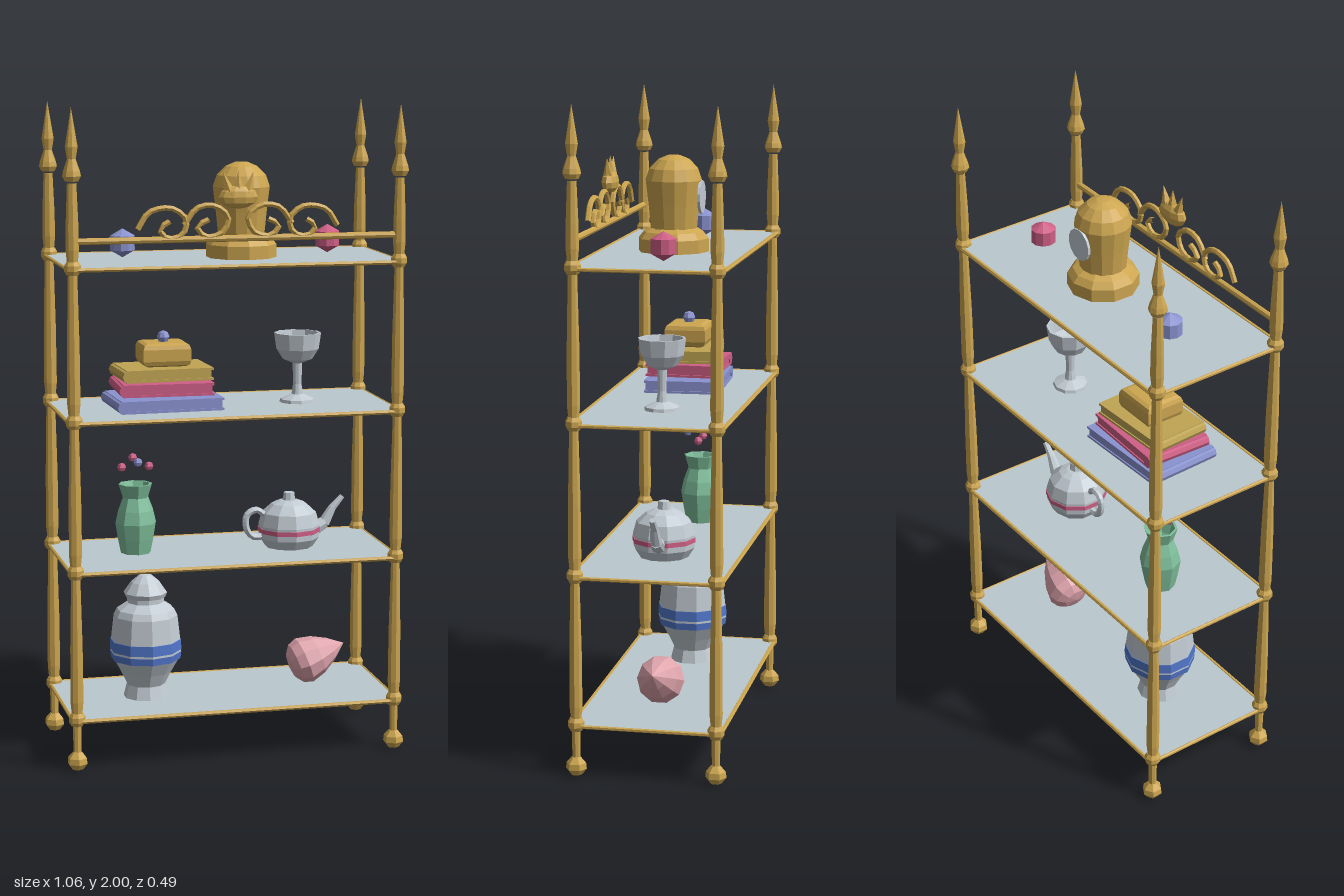
import * as THREE from 'three';

const mat = (name, color) => {
  const m = new THREE.MeshStandardMaterial({ color, flatShading: true });
  m.name = name;
  return m;
};

export function createModel() {
  const root = new THREE.Group();
  root.name = 'displayShelf';
  const gold = mat('gold', 0xcda650), glass = mat('greyGlass', 0xbac8cf),
    china = mat('porcelain', 0xc3ccd4), blue = mat('periwinkle', 0x8a93d0),
    royal = mat('royalBlue', 0x5277cc), rose = mat('rose', 0xcf5f86),
    blush = mat('blush', 0xe0a5ad), green = mat('jade', 0x7fc09c), olive = mat('oldGold', 0xc0a553);

  // helpers
  const add = (name, geo, m, x = 0, y = 0, z = 0, parent = root) => {
    const mesh = new THREE.Mesh(geo, m);
    mesh.name = name;
    mesh.position.set(x, y, z);
    parent.add(mesh);
    return mesh;
  };
  const lathe = (pts, n) => new THREE.LatheGeometry(pts.map(p => new THREE.Vector2(...p)), n);
  const cyl = (r1, r2, h, n) => new THREE.CylinderGeometry(r1, r2, h, n);
  const group = (name, x = 0, y = 0, z = 0) => {
    const g = new THREE.Group();
    g.name = name;
    g.position.set(x, y, z);
    root.add(g);
    return g;
  };
  const tube = (pts, r, n = 16) => new THREE.TubeGeometry(
    new THREE.CatmullRomCurve3(pts.map(p => new THREE.Vector3(p[0], p[1], p[2] || 0))), n, r, 6);

  const levels = [0.155, 0.61, 1.067, 1.525];
  const ZC = -0.002, PX = 0.5, PZ = 0.212;

  // corner posts with feet, collars and spear finials
  const postProfile = [[0.012, 0.05]];
  levels.forEach((y, i) => {
    const next = i < 3 ? levels[i + 1] : 1.79;
    postProfile.push([0.014, y], [0.02, y + 0.06], [0.019, (y + next) / 2], [0.014, next - 0.01]);
  });
  const postGeo = lathe(postProfile, 8);
  const footGeo = lathe([[0, 0], [0.018, 0.004], [0.032, 0.022], [0.03, 0.04], [0.014, 0.058], [0, 0.06]], 6);
  const collarGeo = lathe([[0, -0.02], [0.018, -0.02], [0.025, -0.008], [0.025, 0.008], [0.018, 0.02], [0, 0.02]], 8);
  const finialGeo = lathe([[0, 1.785], [0.02, 1.785], [0.028, 1.8], [0.025, 1.815], [0.018, 1.835],
    [0.013, 1.85], [0.019, 1.885], [0.01, 1.94], [0, 2]], 8);
  for (const sx of [-1, 1]) for (const sz of [-1, 1]) {
    const g = group('cornerPost', sx * PX, 0, sz * PZ + ZC);
    add('post', postGeo, gold, 0, 0, 0, g);
    add('foot', footGeo, gold, 0, 0, 0, g);
    add('finial', finialGeo, gold, 0, 0, 0, g);
    levels.forEach(y => add('collar', collarGeo, gold, 0, y + 0.005, 0, g));
  }

  // shelves with thin edge rails
  for (const y of levels) {
    add('shelfPanel', new THREE.BoxGeometry(1.024, 0.008, 0.45), glass, 0, y, ZC);
    for (const s of [-1, 1]) {
      add('longRail', cyl(0.007, 0.007, 1.024, 6), gold, 0, y, s * 0.226 + ZC).rotation.z = Math.PI / 2;
      add('shortRail', cyl(0.006, 0.006, 0.45, 6), gold, s * 0.512, y, ZC).rotation.x = Math.PI / 2;
    }
  }

  // front crest: rail, mirrored scrolls and a crowned boss
  const crest = group('crest', 0, 0, 0.21);
  add('crestRail', cyl(0.01, 0.01, 1, 8), gold, 0, 1.608, 0, crest).rotation.z = Math.PI / 2;
  const outer = [[0.305, 1.64], [0.27, 1.69], [0.2, 1.7], [0.158, 1.665], [0.17, 1.622], [0.215, 1.612], [0.238, 1.64], [0.208, 1.662]];
  const inner = [[0.165, 1.65], [0.125, 1.7], [0.07, 1.705], [0.03, 1.67], [0.05, 1.625], [0.1, 1.615], [0.125, 1.645], [0.09, 1.665]];
  for (const s of [-1, 1]) {
    add('outerScroll', tube(outer.map(([x, y]) => [s * x, y]), 0.009), gold, 0, 0, 0, crest);
    add('innerScroll', tube(inner.map(([x, y]) => [s * x, y]), 0.009), gold, 0, 0, 0, crest);
  }
  add('boss', new THREE.SphereGeometry(1, 10, 6), gold, 0, 1.73, 0, crest).scale.set(0.06, 0.035, 0.025);
  for (const a of [-1, 0, 1]) {
    const spike = add('crownSpike', new THREE.ConeGeometry(0.02, 0.07, 5), gold, a * 0.036, 1.775 - Math.abs(a) * 0.003, 0, crest);
    spike.rotation.z = -a * 0.3;
  }

  // domed clock with its dial at the back
  const clock = group('domedClock', 0.06, 0, 0);
  add('clockBase', lathe([[0, 1.53], [0.108, 1.53], [0.108, 1.57], [0.092, 1.59], [0.07, 1.602], [0, 1.602]], 10), gold, 0, 0, 0, clock);
  add('clockDome', lathe([[0, 1.59], [0.07, 1.59], [0.078, 1.67], [0.087, 1.745], [0.075, 1.78], [0.048, 1.807], [0.02, 1.819], [0, 1.82]], 14), gold, 0, 0, 0, clock);
  add('clockDial', cyl(0.05, 0.05, 0.008, 14), china, 0, 1.695, -0.085, clock).rotation.x = Math.PI / 2;

  // ornament balls
  const ball = new THREE.SphereGeometry(0.044, 10, 3);
  add('blueBall', ball, blue, -0.305, 1.578, -0.025);
  add('roseBall', ball, rose, 0.34, 1.578, -0.025);

  // stacked books: covers and a page block each
  const books = [[0.32, 0.235, 1.093, blue, 0.04, -0.183], [0.28, 0.215, 1.14, rose, -0.03, -0.186], [0.272, 0.185, 1.183, olive, 0.05, -0.186]];
  for (const [w, d, y, m, turn, x] of books) {
    const g = group('book', x, y, 0);
    g.rotation.y = turn;
    add('pages', new THREE.BoxGeometry(w - 0.012, 0.026, d - 0.008), m, 0, 0, 0, g);
    for (const s of [-1, 1]) add('cover', new THREE.BoxGeometry(w, 0.007, d), m, 0, s * 0.0155, 0, g);
    add('spine', cyl(0.019, 0.019, d, 8), m, -w / 2 + 0.006, 0, 0, g).rotation.x = Math.PI / 2;
  }

  // chamfered trinket box with a knob
  const boxShape = new THREE.Shape();
  [[-0.058, -0.048], [0.058, -0.048], [0.058, 0.048], [-0.058, 0.048]].forEach(([x, z], i) => i ? boxShape.lineTo(x, z) : boxShape.moveTo(x, z));
  const boxGeo = new THREE.ExtrudeGeometry(boxShape, { depth: 0.036, bevelThickness: 0.018, bevelSize: 0.016, bevelSegments: 2 });
  add('trinketBox', boxGeo, gold, -0.185, 1.222, 0).rotation.x = -Math.PI / 2;
  add('trinketKnob', new THREE.SphereGeometry(0.02, 8, 4), blue, -0.185, 1.29, 0);

  // goblet
  add('goblet', lathe([[0, 1.073], [0.055, 1.073], [0.053, 1.083], [0.018, 1.098], [0.013, 1.13], [0.015, 1.195],
    [0.046, 1.208], [0.066, 1.24], [0.073, 1.29], [0.066, 1.29], [0.058, 1.243], [0, 1.222]], 10), china, 0.24, 0, 0);

  // jade vase with floating buds
  add('vase', lathe([[0, 0.615], [0.047, 0.615], [0.056, 0.66], [0.064, 0.71], [0.055, 0.75], [0.04, 0.79],
    [0.053, 0.832], [0.045, 0.832], [0.032, 0.79], [0, 0.74]], 8), green, -0.27, 0, -0.022);
  [[0, 0.906, 0.042, blue], [0, 0.906, -0.042, rose], [-0.043, 0.885, 0, rose], [0.043, 0.885, 0, rose]]
    .forEach(([x, y, z, m]) => add('bud', new THREE.SphereGeometry(0.014, 6, 4), m, -0.27 + x, y, z - 0.022));

  // teapot
  const pot = group('teapot', 0.215, 0, 0);
  add('potBody', lathe([[0, 0.616], [0.075, 0.616], [0.094, 0.645], [0.096, 0.685], [0.085, 0.725], [0.055, 0.752], [0.03, 0.762], [0, 0.765]], 10), china, 0, 0, 0, pot);
  add('potBand', cyl(0.098, 0.098, 0.014, 10), rose, 0, 0.67, 0, pot);
  add('potKnob', cyl(0.017, 0.021, 0.03, 8), china, 0, 0.772, 0, pot);
  add('potHandle', tube([[-0.075, 0.715], [-0.105, 0.735], [-0.135, 0.72], [-0.136, 0.675], [-0.115, 0.65], [-0.08, 0.65]], 0.011), china, 0, 0, 0, pot);
  // spout narrows toward its tip
  const spoutAxis = [[0.07, 0.66, 0.026], [0.115, 0.685, 0.019], [0.14, 0.73, 0.013], [0.172, 0.765, 0.009]];
  for (let i = 0; i < 3; i++) {
    const [x0, y0, r0] = spoutAxis[i], [x1, y1, r1] = spoutAxis[i + 1];
    const s = add('potSpout', cyl(r1, r0, Math.hypot(x1 - x0, y1 - y0) + 0.004, 8), china, (x0 + x1) / 2, (y0 + y1) / 2, 0, pot);
    s.rotation.z = Math.atan2(y1 - y0, x1 - x0) - Math.PI / 2;
  }

  // lidded urn with a double blue band
  const urn = group('urn', -0.245, 0, 0);
  add('urnBody', lathe([[0, 0.16], [0.07, 0.16], [0.06, 0.2], [0.08, 0.24], [0.106, 0.285], [0.109, 0.34],
    [0.1, 0.42], [0.09, 0.44], [0.058, 0.462], [0.058, 0.48], [0, 0.48]], 10), china, 0, 0, 0, urn);
  add('urnLid', lathe([[0, 0.477], [0.062, 0.477], [0.068, 0.492], [0.045, 0.525], [0.02, 0.546], [0, 0.552]], 10), china, 0, 0, 0, urn);
  add('lowerBand', cyl(0.112, 0.109, 0.022, 10), royal, 0, 0.293, 0, urn);
  add('bandLine', cyl(0.111, 0.111, 0.008, 10), china, 0, 0.307, 0, urn);
  add('upperBand', cyl(0.111, 0.112, 0.032, 10), royal, 0, 0.327, 0, urn);

  // tilted blush shell
  const shell = add('shell', lathe([[0, -0.045], [0.04, -0.038], [0.064, -0.02], [0.074, 0.008], [0.062, 0.055], [0.037, 0.1], [0, 0.146]], 10), blush, 0.26, 0.238, 0);
  shell.rotation.z = -Math.PI / 2 + 0.36;

  return root;
}
